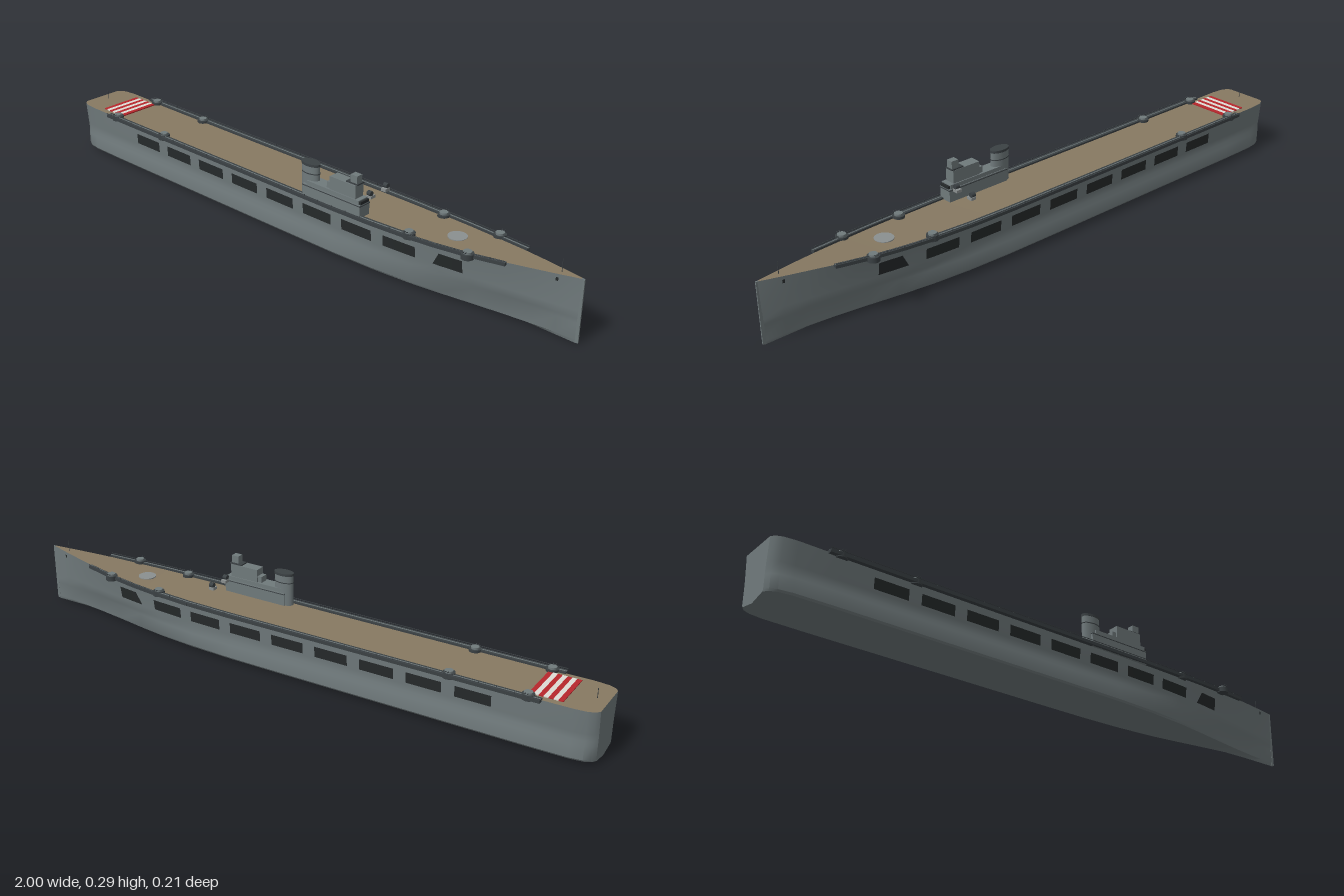
import * as THREE from 'three';
import { toCreasedNormals } from 'three/addons/utils/BufferGeometryUtils.js';

const mat = (name, color, side = THREE.FrontSide) => {
  const m = new THREE.MeshStandardMaterial({ color, side });
  m.name = name;
  return m;
};

// stations: x, deck half-width, bottom half-width, deck height
const ST = [
  [-1, 0.068, 0.060, 0.172], [-0.99, 0.080, 0.074, 0.172], [-0.97, 0.088, 0.084, 0.172],
  [-0.93, 0.092, 0.090, 0.172], [-0.8, 0.092, 0.092, 0.171], [-0.4, 0.092, 0.092, 0.17],
  [0, 0.092, 0.092, 0.17], [0.2, 0.092, 0.091, 0.17], [0.35, 0.090, 0.085, 0.171],
  [0.48, 0.084, 0.073, 0.173], [0.58, 0.076, 0.058, 0.176], [0.68, 0.064, 0.041, 0.180],
  [0.78, 0.048, 0.025, 0.186], [0.86, 0.032, 0.014, 0.191], [0.93, 0.017, 0.006, 0.195],
  [0.995, 0.002, 0.001, 0.199],
];

function station(x) {
  let i = 0;
  while (i < ST.length - 2 && ST[i + 1][0] < x) i++;
  const t = (x - ST[i][0]) / (ST[i + 1][0] - ST[i][0]);
  return ST[i].map((v, k) => v + (ST[i + 1][k] - v) * t);
}

// half section from deck edge down to keel, as [z, y]
function section([, d, b, y]) {
  const m = (d + b) / 2;
  return [[d, y], [m * 0.96, 0.1], [m * 0.94, 0.077], [b, 0.062], [b, 0.018], [b * 0.95, 0.012], [0, 0.001]];
}

// hull side z at a given x and height
function sideZ(x, y) {
  const s = section(station(x));
  for (let i = 0; i < s.length - 1; i++) {
    const [z0, y0] = s[i], [z1, y1] = s[i + 1];
    if (y <= y0 && y >= y1) return z0 + (z1 - z0) * (y0 - y) / (y0 - y1);
  }
  return s[0][0];
}

function buffer(pos, idx) {
  const g = new THREE.BufferGeometry();
  g.setAttribute('position', new THREE.Float32BufferAttribute(pos, 3));
  g.setIndex(idx);
  g.computeVertexNormals();
  return g;
}

function hullGeometry() {
  const pos = [], idx = [], n = 13;
  for (const s of ST) {
    const half = section(s);
    const ring = [...half, ...half.slice(0, -1).reverse().map(([z, y]) => [-z, y])];
    for (const [z, y] of ring) pos.push(s[0], y, z);
  }
  for (let i = 0; i < ST.length - 1; i++) for (let j = 0; j < n - 1; j++) {
    const a = i * n + j, c = a + n;
    idx.push(a, a + 1, c, a + 1, c + 1, c);
  }
  const centre = pos.length / 3;
  pos.push(-1, 0.09, 0);
  for (let j = 0; j < n; j++) idx.push(centre, (j + 1) % n, j);
  return toCreasedNormals(buffer(pos, idx), 0.6);
}

function deckGeometry() {
  const pos = [], idx = [];
  ST.forEach(([x, d, , y], i) => {
    pos.push(x, y, d, x, y, -d);
    const a = i * 2;
    if (i < ST.length - 1) idx.push(a, a + 2, a + 1, a + 1, a + 2, a + 3);
  });
  return buffer(pos, idx);
}

// thin panel hugging the hull side; bottom edge x0..x1, top edge t0..x1
function panelGeometry(side, x0, x1, t0, yb, yt) {
  const pos = [], idx = [], n = 4;
  for (let i = 0; i <= n; i++) {
    for (const [s, y] of [[x0, yb], [t0, yt]]) {
      const x = s + (x1 - s) * i / n;
      pos.push(x, y, side * (sideZ(x, y) + 0.003));
    }
    const a = i * 2;
    if (i < n) idx.push(a, a + 2, a + 1, a + 1, a + 2, a + 3);
  }
  return buffer(pos, idx);
}

export function createModel() {
  const root = new THREE.Group();
  root.name = 'ship';
  const grey = mat('hullGrey', 0x707a7c), tan = mat('deckTan', 0x877962);
  const dark = mat('darkGrey', 0x3b4144), black = mat('openingBlack', 0x262a2b, THREE.DoubleSide);
  const red = mat('red', 0xb8272c), white = mat('white', 0xdedcd6), light = mat('lightGrey', 0x8b9090);

  const add = (name, geo, m, x = 0, y = 0, z = 0, parent = root) => {
    const mesh = new THREE.Mesh(geo, m);
    mesh.name = name;
    mesh.position.set(x, y, z);
    parent.add(mesh);
    return mesh;
  };
  // box given by its bounds
  const box = (name, m, x0, x1, y0, y1, z0, z1, parent) =>
    add(name, new THREE.BoxGeometry(x1 - x0, y1 - y0, z1 - z0), m, (x0 + x1) / 2, (y0 + y1) / 2, (z0 + z1) / 2, parent);
  const cyl = (name, m, r, h, x, y, z, parent, sides = 16) =>
    add(name, new THREE.CylinderGeometry(r, r, h, sides), m, x, y + h / 2, z, parent);

  add('hull', hullGeometry(), grey);
  add('flightDeck', deckGeometry(), tan);
  box('stem', grey, 0.99, 1, 0.004, 0.199, -0.002, 0.002);

  // stern stripes
  for (let i = 0; i < 7; i++) {
    const x = -0.895 + i * 0.0143;
    box('deckStripe', i % 2 ? white : red, x, x + 0.0143, 0.171, 0.1745, -0.072, 0.072);
  }
  cyl('deckDisc', light, 0.029, 0.003, 0.59, 0.176, 0, root, 24);

  for (const s of [1, -1]) {
    // side openings
    for (let i = 0; i < 8; i++) {
      const x = -0.695 + i * 0.155;
      add('hangarOpening', panelGeometry(s, x, x + 0.113, x, 0.107, 0.142), black);
    }
    add('forwardOpening', panelGeometry(s, 0.56, 0.655, 0.582, 0.107, 0.148), black);

    // catwalk segments following the deck edge
    const xs = [-0.84, 0.2, 0.35, 0.48, 0.58, 0.68, 0.79];
    for (let i = 0; i < xs.length - 1; i++) {
      const [x0, d0, , y0] = station(xs[i]), [x1, d1, , y1] = station(xs[i + 1]);
      const walk = new THREE.Group();
      walk.name = 'catwalk';
      const len = Math.hypot(x1 - x0, d1 - d0), w = i < 3 ? 0.02 : 0.012;
      walk.position.set((x0 + x1) / 2, (y0 + y1) / 2, s * ((d0 + d1) / 2 + 0.014 - w / 2));
      walk.rotation.set(0, s * Math.atan2(d0 - d1, len), Math.atan2(y1 - y0, len), 'YZX');
      root.add(walk);
      add('walkway', new THREE.BoxGeometry(len, 0.01, w), dark, 0, 0, 0, walk);
      add('walkwayRail', new THREE.BoxGeometry(len, 0.0015, 0.0015), dark, 0, 0.009, s * w / 2, walk);
      add('walkwayStrip', new THREE.BoxGeometry(len, 0.001, 0.003), grey, 0, 0.0055, 0, walk);
    }
    // thin edge posts
    for (let x = -0.82; x < 0.8; x += 0.054) {
      const [, d, , y] = station(x);
      box('edgePost', dark, x - 0.0008, x + 0.0008, y, y + 0.011, s * (d + 0.012) - 0.0008, s * (d + 0.012) + 0.0008);
    }

    // gun tubs
    for (const x of [-0.8, -0.56, 0.48, 0.68]) {
      const [, d, , y] = station(x);
      const gun = new THREE.Group();
      gun.name = 'gunMount';
      gun.position.set(x, y, s * (d + (x > 0.6 ? 0.012 : -0.004)));
      root.add(gun);
      cyl('gunTub', dark, 0.019, 0.016, 0, -0.008, 0, gun);
      cyl('gunBase', grey, 0.013, 0.006, 0, 0.008, 0, gun);
      for (const o of [-0.004, 0.004]) {
        const barrel = cyl('gunBarrel', dark, 0.0015, 0.024, o, 0, s * 0.007, gun, 8);
        barrel.position.y = 0.012;
        barrel.rotation.x = s * 1.35;
      }
    }

    // searchlights beside the island
    box('searchlightBase', light, 0.288, 0.306, 0.211, 0.22, s * 0.033 - 0.01, s * 0.033 + 0.01);
    const lamp = cyl('searchlight', dark, 0.008, 0.014, 0.297, 0, s * 0.037);
    lamp.position.y = 0.227;
    lamp.rotation.z = Math.PI / 2;

    // bow fairlead
    add('fairlead', panelGeometry(s, 0.925, 0.932, 0.925, 0.175, 0.186), black);
  }

  // island
  const island = new THREE.Group();
  island.name = 'island';
  root.add(island);
  box('islandBase', grey, 0.085, 0.31, 0.165, 0.212, 0.054, 0.098, island);
  box('islandUpperDeck', grey, 0.1, 0.305, 0.212, 0.225, 0.056, 0.097, island);
  box('bridgeWindows', black, 0.304, 0.3115, 0.213, 0.222, 0.058, 0.094, island);
  box('islandLedge', dark, 0.083, 0.312, 0.207, 0.2095, 0.053, 0.099, island);
  box('bridgeTower', grey, 0.19, 0.29, 0.225, 0.267, 0.059, 0.094, island);
  box('towerPlatform', dark, 0.25, 0.294, 0.267, 0.271, 0.06, 0.09, island);
  box('rangefinder', grey, 0.265, 0.29, 0.271, 0.295, 0.065, 0.087, island);
  box('towerStep', grey, 0.175, 0.19, 0.225, 0.245, 0.063, 0.09, island);
  const funnel = cyl('funnel', grey, 0.033, 0.108, 0.097, 0.168, 0.074, island, 24);
  funnel.scale.z = 0.55;
  const cap = cyl('funnelCap', dark, 0.0345, 0.008, 0.097, 0.27, 0.074, island, 24);
  cap.scale.z = 0.56;
  const band = cyl('funnelBand', dark, 0.034, 0.003, 0.097, 0.245, 0.074, island, 24);
  band.scale.z = 0.56;

  // flagstaffs
  cyl('bowStaff', dark, 0.001, 0.04, 0.93, 0.194, 0, root, 6);
  cyl('sternStaff', dark, 0.001, 0.03, -0.965, 0.172, 0, root, 6);
  return root;
}
